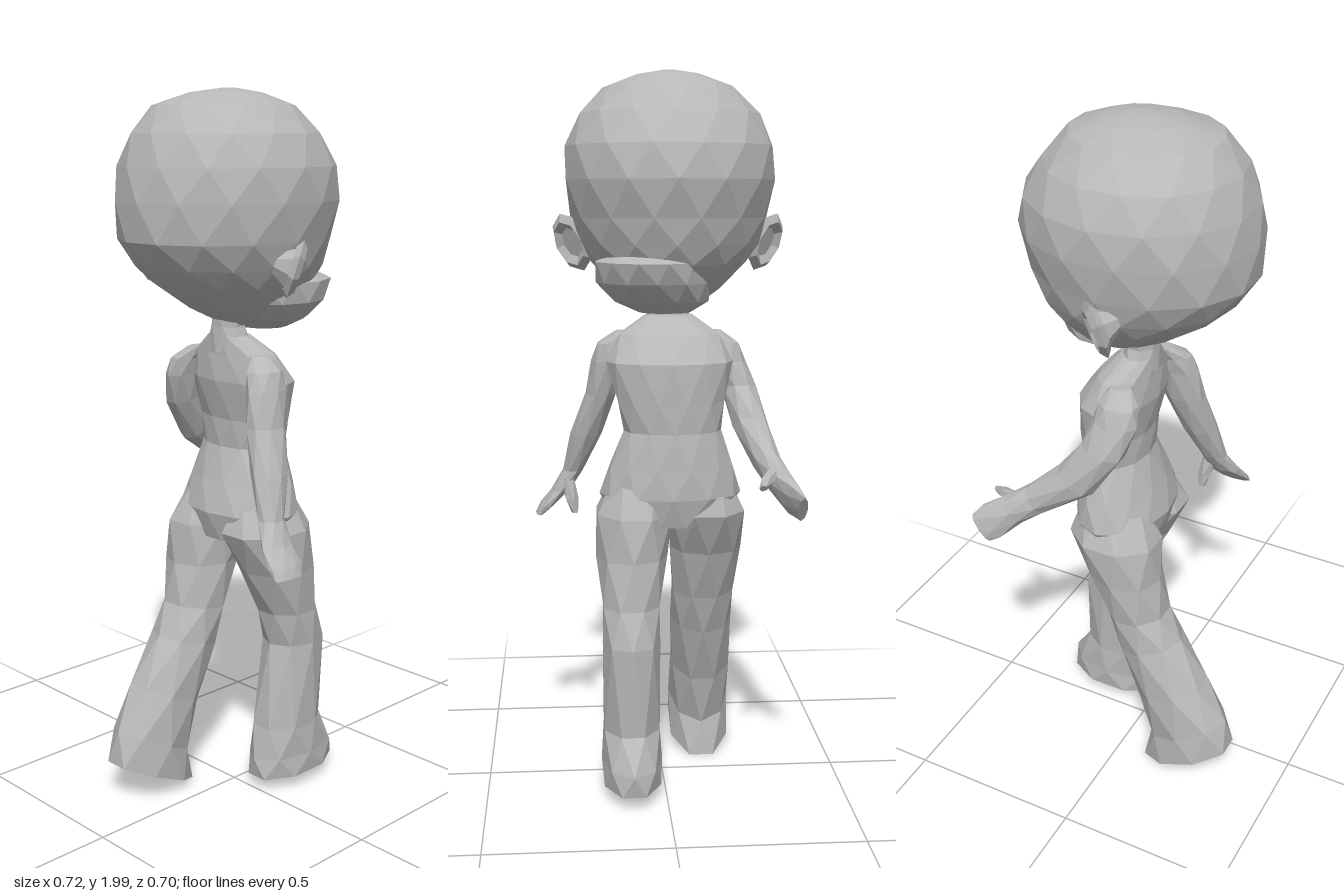
import * as THREE from 'three';

const grey = new THREE.MeshStandardMaterial({ color: 0xb8b8b8, flatShading: true });
grey.name = 'plain grey';

// Capped loft through elliptical rings listed top to bottom: [x, y, z, radiusX, radiusZ, tilt]
function loft(name, rings, sides = 8) {
  const pos = [], idx = [];
  rings.forEach(([x, y, z, rx, rz, t = 0], i) => {
    for (let j = 0; j < sides; j++) {
      const a = ((j + (i % 2) * 0.5) / sides) * Math.PI * 2, d = rz * Math.sin(a);
      pos.push(x + rx * Math.cos(a), y + d * Math.sin(t), z + d * Math.cos(t));
    }
  });
  for (let i = 0; i < rings.length - 1; i++) {
    for (let j = 0; j < sides; j++) {
      const k = (j + 1) % sides, u = i * sides, l = u + sides;
      // the diagonal follows the half-step stagger of every other ring
      if (i % 2) idx.push(u + j, l + k, l + j, u + j, u + k, l + k);
      else idx.push(u + j, u + k, l + j, u + k, l + k, l + j);
    }
  }
  const top = rings.length * sides, last = top - sides;
  pos.push(...rings[0].slice(0, 3), ...rings[rings.length - 1].slice(0, 3));
  for (let j = 0; j < sides; j++) {
    const k = (j + 1) % sides;
    idx.push(top, k, j, top + 1, last + j, last + k);
  }
  const g = new THREE.BufferGeometry();
  g.setAttribute('position', new THREE.Float32BufferAttribute(pos, 3));
  g.setIndex(idx);
  const flat = g.toNonIndexed();
  flat.computeVertexNormals();
  const mesh = new THREE.Mesh(flat, grey);
  mesh.name = name;
  return mesh;
}

// Cupped ear: a low-sided rim with a shallow bowl behind it
function makeEar(side) {
  const ear = new THREE.Group();
  ear.name = side > 0 ? 'rightEar' : 'leftEar';
  const rim = new THREE.Mesh(new THREE.TorusGeometry(0.045, 0.015, 4, 8), grey);
  rim.name = 'earRim';
  const bowl = new THREE.Mesh(new THREE.CylinderGeometry(0.045, 0.02, 0.05, 8), grey);
  bowl.name = 'earBowl';
  bowl.rotation.x = Math.PI / 2;
  bowl.position.z = -0.03;
  ear.add(rim, bowl);
  ear.scale.set(1.15, 1.4, 1);
  ear.position.set(-0.022 + side * 0.268, 1.542, 0.02);
  ear.rotation.set(0, side * 2.3, -side * 0.4, 'ZYX');
  return ear;
}

export function createModel() {
  const model = new THREE.Group();
  model.name = 'walkingFigure';

  // Head with a full brow, the face below it turned a little to one side
  const head = new THREE.Group();
  head.name = 'head';
  head.add(loft('cranium', [
    [-0.02, 2.0, 0, 0.02, 0.02],
    [-0.02, 1.988, 0.01, 0.09, 0.105],
    [-0.02, 1.955, 0.018, 0.18, 0.2],
    [-0.02, 1.885, 0.015, 0.248, 0.26],
    [-0.02, 1.8, 0.005, 0.284, 0.305],
    [-0.02, 1.71, 0.005, 0.288, 0.32],
    [-0.02, 1.61, 0.015, 0.27, 0.305],
    [-0.02, 1.54, 0.0, 0.245, 0.27],
    [-0.018, 1.49, -0.015, 0.213, 0.23],
    [-0.015, 1.42, -0.04, 0.14, 0.15],
    [-0.01, 1.375, -0.07, 0.08, 0.09],
  ], 14));
  head.add(loft('jaw', [
    [0.045, 1.515, -0.085, 0.11, 0.14],
    [0.04, 1.495, -0.1, 0.15, 0.185],
    [0.03, 1.44, -0.1, 0.155, 0.162],
    [0.01, 1.39, -0.1, 0.13, 0.118],
    [0.0, 1.36, -0.11, 0.07, 0.065],
  ], 12));
  head.add(makeEar(1), makeEar(-1));
  model.add(head);

  // Neck and body
  model.add(loft('neck', [
    [-0.018, 1.43, 0, 0.055, 0.045],
    [-0.018, 1.37, 0.005, 0.052, 0.045],
    [-0.018, 1.3, 0, 0.075, 0.055],
  ]));
  model.add(loft('torso', [
    [-0.018, 1.345, 0, 0.065, 0.05],
    [-0.018, 1.295, -0.025, 0.14, 0.075],
    [-0.018, 1.22, -0.05, 0.175, 0.105],
    [-0.02, 1.11, -0.062, 0.15, 0.095],
    [-0.025, 1.03, -0.062, 0.135, 0.092],
    [-0.022, 0.93, -0.05, 0.175, 0.115],
    [-0.02, 0.85, -0.04, 0.198, 0.13],
    [-0.02, 0.77, -0.04, 0.14, 0.11],
  ], 12));

  // Legs: one stepping forward, one pushing off behind with its heel raised
  model.add(loft('forwardLeg', [
    [0.07, 0.92, -0.045, 0.06, 0.08],
    [0.082, 0.8, -0.045, 0.112, 0.142],
    [0.09, 0.68, -0.08, 0.1, 0.115],
    [0.095, 0.55, -0.12, 0.083, 0.092],
    [0.095, 0.45, -0.147, 0.08, 0.096],
    [0.095, 0.2, -0.122, 0.083, 0.114],
    [0.095, 0.11, -0.14, 0.085, 0.152],
    [0.095, 0.05, -0.14, 0.085, 0.153],
  ]));
  model.add(loft('trailingLeg', [
    [-0.11, 0.92, -0.04, 0.06, 0.08],
    [-0.122, 0.8, -0.025, 0.112, 0.135],
    [-0.125, 0.68, 0.01, 0.102, 0.108],
    [-0.12, 0.55, 0.047, 0.092, 0.092, 0.15],
    [-0.12, 0.45, 0.09, 0.09, 0.098, 0.3],
    [-0.125, 0.3, 0.163, 0.09, 0.115, 0.4],
    [-0.125, 0.17, 0.217, 0.09, 0.133, 0.45],
    [-0.125, 0.07, 0.218, 0.092, 0.155, 0.42],
  ]));

  // Arm hanging back, with its hand
  const backArm = new THREE.Group();
  backArm.name = 'backwardArm';
  backArm.add(loft('arm', [
    [0.105, 1.3, 0.005, 0.025, 0.03],
    [0.138, 1.265, 0.02, 0.042, 0.055],
    [0.152, 1.215, 0.028, 0.045, 0.065],
    [0.17, 1.12, 0.045, 0.045, 0.062],
    [0.212, 1.0, 0.075, 0.045, 0.055],
    [0.25, 0.89, 0.105, 0.03, 0.04],
    [0.285, 0.83, 0.12, 0.028, 0.052],
    [0.325, 0.785, 0.13, 0.022, 0.058],
    [0.347, 0.758, 0.135, 0.012, 0.05],
  ]));
  backArm.add(loft('thumb', [
    [0.265, 0.87, 0.09, 0.02, 0.025],
    [0.255, 0.81, 0.075, 0.02, 0.02],
    [0.245, 0.77, 0.07, 0.01, 0.012],
  ], 5));
  model.add(backArm);

  // Arm swinging forward, bent at the elbow, with its hand
  const frontArm = new THREE.Group();
  frontArm.name = 'forwardArm';
  frontArm.add(loft('arm', [
    [-0.14, 1.3, 0.005, 0.025, 0.03],
    [-0.174, 1.265, 0.015, 0.042, 0.055],
    [-0.19, 1.215, 0.012, 0.045, 0.065],
    [-0.215, 1.14, -0.01, 0.05, 0.062, -0.2],
    [-0.24, 1.04, -0.08, 0.05, 0.06, -0.6],
    [-0.27, 0.96, -0.19, 0.038, 0.045, -0.95],
    [-0.295, 0.92, -0.25, 0.035, 0.045, -0.95],
    [-0.325, 0.88, -0.305, 0.025, 0.055, -0.95],
    [-0.345, 0.86, -0.33, 0.013, 0.045, -0.95],
  ]));
  frontArm.add(loft('thumb', [
    [-0.28, 0.945, -0.24, 0.02, 0.025, -0.95],
    [-0.255, 0.93, -0.3, 0.02, 0.02, -0.95],
    [-0.238, 0.92, -0.34, 0.01, 0.012, -0.95],
  ], 5));
  model.add(frontArm);

  return model;
}
